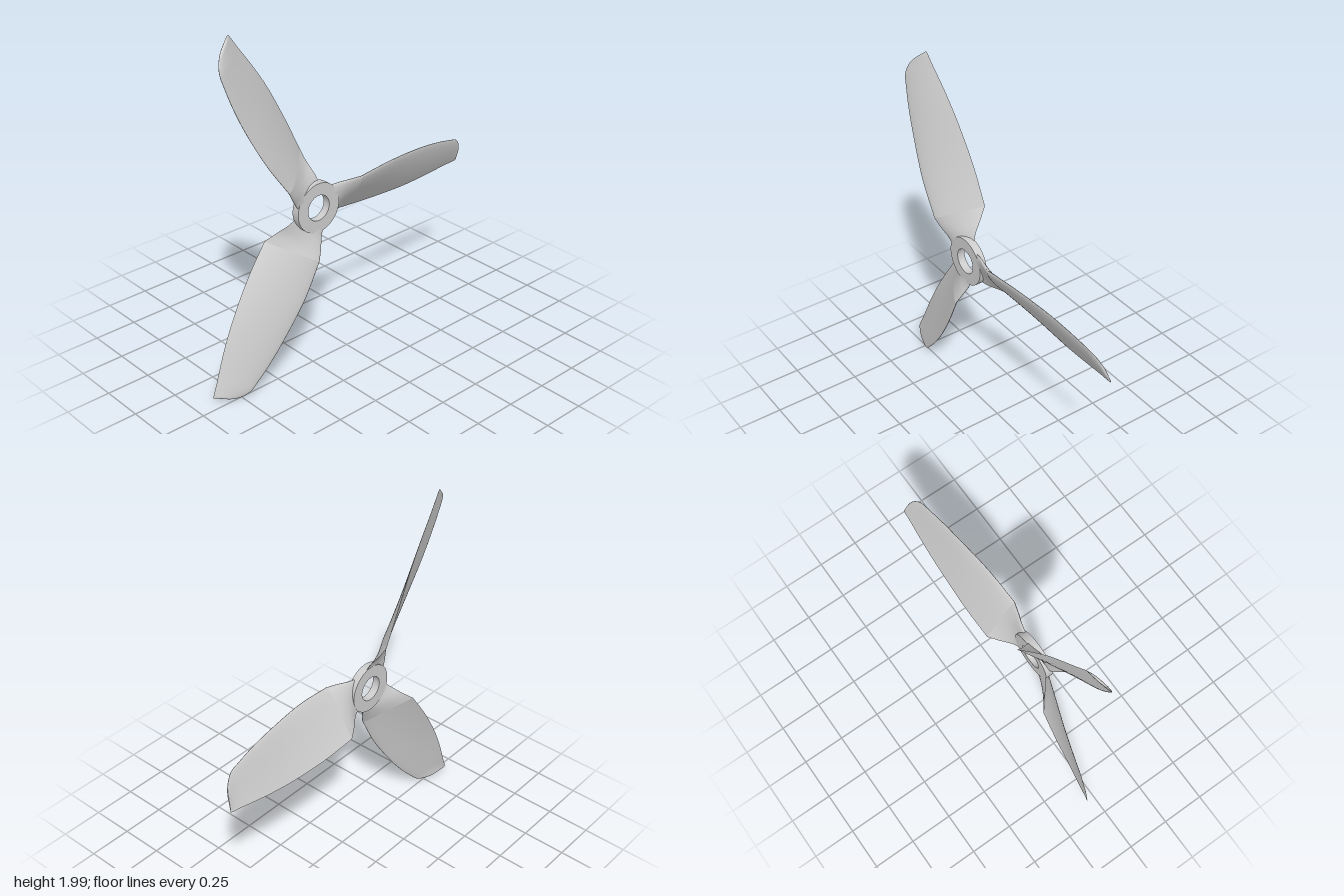
import * as THREE from 'three';

const material = new THREE.MeshStandardMaterial({ color: 0xcccccc, side: THREE.DoubleSide });

// Edge rails of one blade pointing along +x: [radius, y, z]
const rootLead = [[0.1, 0.098, 0.034], [0.14, 0.102, 0.043], [0.2, 0.108, 0.066], [0.265, 0.113, 0.086]];
const rootTrail = [[0.1, -0.095, 0.006], [0.14, -0.105, -0.012], [0.2, -0.12, -0.055], [0.265, -0.142, -0.094]];
const bladeLead = [[0.265, 0.113, 0.086], [0.48, 0.13, 0.076], [0.72, 0.122, 0.053], [0.87, 0.104, 0.039],
  [0.99, 0.079, 0.026], [1.045, 0.064, 0.019], [1.08, 0.038, 0.006], [1.108, -0.005, -0.012], [1.13, -0.1, -0.049]];
const bladeTrail = [[0.265, -0.142, -0.094], [0.48, -0.157, -0.092], [0.72, -0.158, -0.08], [0.87, -0.146, -0.071],
  [0.99, -0.13, -0.062], [1.045, -0.122, -0.057], [1.08, -0.118, -0.054], [1.108, -0.115, -0.052], [1.13, -0.111, -0.05]];

const rail = (points) => new THREE.CatmullRomCurve3(points.map((p) => new THREE.Vector3(...p)), false, 'centripetal');

// Half-thickness of a unit aerofoil at chord fraction u
const foil = (u) => 1.4845 * Math.sqrt(u) - 0.63 * u - 1.758 * u * u + 1.4215 * u ** 3 - 0.5075 * u ** 4;

// Loft aerofoil sections between a leading and a trailing rail
function loft(lead, trail, rows, cols = 40) {
  const a = rail(lead), b = rail(trail);
  const positions = [], index = [];
  for (let i = 0; i <= rows; i++) {
    const p = a.getPoint(i / rows), q = b.getPoint(i / rows);
    const chord = q.clone().sub(p);
    const length = Math.hypot(chord.y, chord.z);
    const normal = new THREE.Vector3(0, chord.z, -chord.y).divideScalar(length);
    const thickness = Math.min(0.036 - 0.02 * p.x, length * 0.14);
    for (let j = 0; j <= cols; j++) {
      const angle = (j / cols) * Math.PI * 2;
      const u = (1 + Math.cos(angle)) / 2;
      const offset = Math.sign(Math.sin(angle)) * thickness * foil(u) + 0.03 * length * 4 * u * (1 - u) * 0.8;
      const v = p.clone().addScaledVector(chord, u).addScaledVector(normal, offset);
      positions.push(v.x, v.y, v.z);
      if (i < rows && j < cols) {
        const k = i * (cols + 1) + j, n = k + cols + 1;
        index.push(k, n, k + 1, k + 1, n, n + 1);
      }
    }
  }
  const geometry = new THREE.BufferGeometry();
  geometry.setAttribute('position', new THREE.Float32BufferAttribute(positions, 3));
  geometry.setIndex(index);
  geometry.computeVertexNormals();
  return geometry;
}

function addMesh(parent, geometry, name) {
  const mesh = new THREE.Mesh(geometry, material);
  mesh.name = name;
  parent.add(mesh);
}

export function createModel() {
  const model = new THREE.Group();
  model.name = 'propeller';
  model.position.set(-0.235, 0.966, 0);

  // Hub ring with its shaft hole
  const ring = new THREE.Shape().absarc(0, 0, 0.14, 0, Math.PI * 2);
  ring.holes.push(new THREE.Path().absarc(0, 0, 0.072, 0, Math.PI * 2, true));
  addMesh(model, new THREE.ExtrudeGeometry(ring, { depth: 0.045, bevelEnabled: false, curveSegments: 48 }), 'hub');

  // Three blades, each a twisted root and a long paddle meeting at a crease
  const root = loft(rootLead, rootTrail, 12);
  const paddle = loft(bladeLead, bladeTrail, 48);
  for (let i = 0; i < 3; i++) {
    const blade = new THREE.Group();
    blade.name = `blade${i + 1}`;
    blade.rotation.z = (i * Math.PI * 2) / 3;
    addMesh(blade, root, 'bladeRoot');
    addMesh(blade, paddle, 'bladePaddle');
    model.add(blade);
  }

  const group = new THREE.Group();
  group.add(model);
  return group;
}
